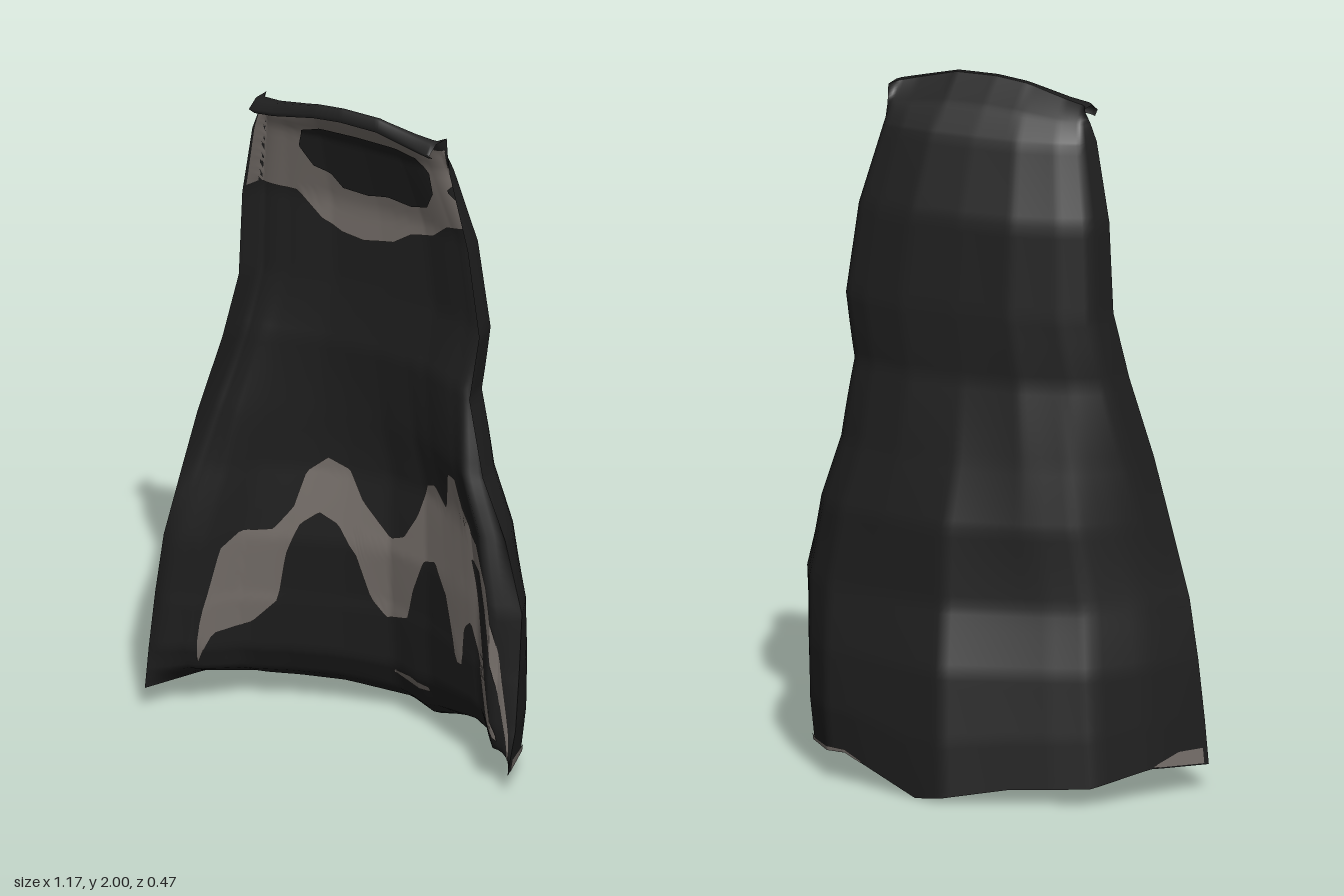
import * as THREE from 'three';

// Height rows: y, x of both edges, z of both edges, z of the middle of the back
const ROWS = [
  [0.07, -0.59, 0.575, 0.235, 0.165, -0.235],
  [0.2, -0.58, 0.58, 0.23, 0.13, -0.23],
  [0.37, -0.565, 0.582, 0.22, 0.115, -0.21],
  [0.55, -0.54, 0.585, 0.215, 0.105, -0.16],
  [0.77, -0.485, 0.535, 0.205, 0.115, -0.145],
  [0.95, -0.44, 0.47, 0.195, 0.13, -0.1],
  [1.18, -0.38, 0.425, 0.16, 0.13, -0.05],
  [1.37, -0.345, 0.445, 0.13, 0.11, -0.05],
  [1.63, -0.33, 0.41, 0.135, 0.115, -0.03],
  [1.85, -0.28, 0.35, 0.16, 0.115, 0.04],
  [1.93, -0.265, 0.34, 0.15, 0.11, 0.1],
  [2.0, -0.262, 0.34, 0.115, 0.115, 0.18],
];
// How far the cloth has come forward from the middle (0) to the edge (1)
const LOW_BEND_LEFT = [[0, 0], [0.5, 0.22], [0.68, 0.32], [0.86, 0.66], [1, 1]];
const LOW_BEND_RIGHT = [[0, 0], [0.5, 0.22], [0.72, 0.32], [0.9, 0.62], [1, 1]];
const HIGH_BEND = [[0, 0], [0.42, 0.03], [0.75, 0.23], [0.96, 0.46], [1, 1]];
// Depth between the back and the lining by height
const THICKNESS = [[0.07, 0], [0.087, 0.04], [0.12, 0.085], [0.2, 0.13], [0.35, 0.14], [0.6, 0.11],
  [0.85, 0.085], [1.2, 0.06], [1.6, 0.05], [1.85, 0.05], [1.93, 0.04], [2, 0]];
// Extra padding of the lining toward the two side rims
const RIM = [[-1, 0], [-0.8, 0.045], [-0.5, 0.015], [-0.2, 0], [0.3, 0], [0.63, 0.05], [0.88, 0.095], [1, 0]];
// Uneven hem and neckline
const HEM = [[-1, 0], [-0.83, 0.015], [-0.63, -0.02], [-0.27, -0.025], [0.2, -0.07], [0.63, 0.015], [1, 0]];
const NECK = [[-1, -0.05], [-0.75, -0.04], [-0.3, -0.01], [0, 0], [0.4, 0], [1, -0.04]];

// Piecewise linear lookup, column k of a table sorted by its first column
function lookup(table, x, k = 1) {
  if (x <= table[0][0]) return table[0][k];
  for (let i = 1; i < table.length; i++) {
    const a = table[i - 1], b = table[i];
    if (x <= b[0]) return a[k] + (b[k] - a[k]) * (x - a[0]) / (b[0] - a[0]);
  }
  return table[table.length - 1][k];
}

// Point of the cloth; t runs -1..1 across, lift moves it along z
function clothPoint(t, y, inner, lift = 0) {
  const [xl, xr, zl, zr, zc] = [1, 2, 3, 4, 5].map(k => lookup(ROWS, y, k));
  // The spine lies slightly off the middle
  const s = t - 0.045 * (1 - t * t), a = Math.abs(s);
  const mix = THREE.MathUtils.smoothstep(y, 0.5, 1.3);
  const low = lookup(s < 0 ? LOW_BEND_LEFT : LOW_BEND_RIGHT, a);
  const bend = THREE.MathUtils.lerp(low, lookup(HIGH_BEND, a), mix);
  const edge = s < 0 ? zl : zr;
  const rim = lookup(RIM, t) * Math.min(1, (y - 0.07) / 0.05) * (1 - THREE.MathUtils.smoothstep(y, 0.85, 1.35));
  const depth = inner ? lookup(THICKNESS, y) * (1 - t ** 8) + rim : 0;
  const z = zc + (edge - zc) * bend + depth + lift;
  const dy = lookup(HEM, t) * Math.max(0, 1 - y / 0.35) / 0.8
    + lookup(NECK, t) * Math.max(0, (y - 1.85) / 0.15);
  return [xl + (xr - xl) * (t + 1) / 2, y + dy, z];
}

// Grid surface facing the front, or the back when flipped
function grid(fn, us, vs, flip) {
  const pos = [], index = [], w = us.length;
  vs.forEach(v => us.forEach(u => pos.push(...fn(u, v))));
  for (let j = 0; j < vs.length - 1; j++) {
    for (let i = 0; i < w - 1; i++) {
      const a = j * w + i, b = a + 1, c = a + w, d = c + 1;
      if (flip) index.push(a, c, b, b, c, d);
      else index.push(a, b, c, b, d, c);
    }
  }
  const g = new THREE.BufferGeometry();
  g.setAttribute('position', new THREE.Float32BufferAttribute(pos, 3));
  g.setIndex(index);
  g.computeVertexNormals();
  return g;
}

const steps = (a, b, n) => Array.from({ length: n + 1 }, (_, i) => a + (b - a) * i / n);

// Painted patch between a top and a bottom outline, on the lining or the back
function patch(top, bottom, lift, inner = true) {
  const x0 = top[0][0], x1 = top[top.length - 1][0];
  return grid((x, s) => {
    const y = THREE.MathUtils.lerp(lookup(bottom, x), lookup(top, x), s);
    const xl = lookup(ROWS, y, 1), xr = lookup(ROWS, y, 2);
    const t = THREE.MathUtils.clamp(2 * (x - xl) / (xr - xl) - 1, -0.99, 0.99);
    return clothPoint(t, y, inner, inner ? lift : -lift);
  }, steps(x0, x1, 110), steps(0, 1, 14), !inner);
}

export function createModel() {
  const model = new THREE.Group();
  model.name = 'cape';
  const dark = new THREE.MeshStandardMaterial({ color: 0x1f1f1f });
  dark.name = 'black cloth';
  const lip = new THREE.MeshStandardMaterial({ color: 0x1f1f1f, side: THREE.DoubleSide });
  lip.name = 'black collar cloth';
  const grey = new THREE.MeshStandardMaterial({ color: 0x77706b });
  grey.name = 'warm grey';
  const add = (name, geometry, material) => {
    const mesh = new THREE.Mesh(geometry, material);
    mesh.name = name;
    model.add(mesh);
  };

  // Cloth: back and padded lining meet along every edge
  const across = steps(-1, 1, 60);
  const up = [];
  ROWS.slice(1).forEach((r, i) => up.push(...steps(ROWS[i][0], r[0], 8).slice(0, 8)));
  up.push(2);
  add('outerCloth', grid((t, y) => clothPoint(t, y, false), across, up, true), dark);
  add('innerCloth', grid((t, y) => clothPoint(t, y, true), across, up, false), dark);

  // Collar fold hanging over the front of the neckline
  const fold = [[0, 0], [0.002, 0.6], [-0.02, 1], [-0.035, 0.8]];
  add('collarFold', grid((t, k) => {
    const [x, y, z] = clothPoint(t, 2, false);
    return [x, y + fold[k][0], z + (0.205 - z) * fold[k][1]];
  }, across, [3, 2, 1, 0], false), lip);

  // Grey neck panel with a dark opening and a small dark fleck on it
  add('neckPanel', patch(
    [[-0.33, 1.95], [0.42, 1.95]],
    [[-0.33, 1.65], [-0.2, 1.64], [-0.13, 1.56], [-0.07, 1.53], [0, 1.52], [0.1, 1.54],
      [0.16, 1.58], [0.24, 1.6], [0.3, 1.65], [0.42, 1.68]], 0.005), grey);
  add('neckPanelCentre', patch(
    [[-0.16, 1.81], [-0.14, 1.87], [-0.08, 1.89], [0.18, 1.89], [0.24, 1.88], [0.275, 1.83]],
    [[-0.16, 1.8], [-0.13, 1.74], [-0.08, 1.72], [-0.05, 1.68], [0.03, 1.675], [0.1, 1.69],
      [0.18, 1.68], [0.24, 1.7], [0.275, 1.76]], 0.009), dark);
  add('neckPanelFleck', patch(
    [[0.33, 1.79], [0.35, 1.81], [0.37, 1.8]], [[0.33, 1.78], [0.35, 1.76], [0.37, 1.77]], 0.009), dark);

  // Wavy grey band above the hem, and the streak along its edge
  add('wavyBand', patch(
    [[-0.46, 0.16], [-0.44, 0.3], [-0.39, 0.52], [-0.35, 0.57], [-0.27, 0.58], [-0.22, 0.65],
      [-0.19, 0.76], [-0.13, 0.81], [-0.07, 0.78], [-0.03, 0.69], [0.05, 0.59], [0.1, 0.61],
      [0.15, 0.69], [0.19, 0.8], [0.23, 0.82], [0.28, 0.77], [0.31, 0.9], [0.35, 0.9],
      [0.37, 0.82], [0.4, 0.7], [0.44, 0.58], [0.48, 0.38], [0.52, 0.17]],
    [[-0.46, 0.15], [-0.42, 0.25], [-0.34, 0.28], [-0.27, 0.35], [-0.24, 0.5], [-0.2, 0.6],
      [-0.15, 0.64], [-0.1, 0.61], [-0.05, 0.52], [-0.02, 0.38], [0.02, 0.33], [0.1, 0.35],
      [0.13, 0.45], [0.18, 0.56], [0.23, 0.58], [0.28, 0.5], [0.32, 0.31], [0.35, 0.31],
      [0.37, 0.44], [0.4, 0.47], [0.44, 0.37], [0.48, 0.22], [0.52, 0.15]], 0.005), grey);
  add('edgeStreak', patch(
    [[0.37, 0.82], [0.41, 0.75], [0.45, 0.74], [0.5, 0.63], [0.54, 0.38], [0.57, 0.15]],
    [[0.37, 0.78], [0.41, 0.67], [0.46, 0.66], [0.5, 0.48], [0.54, 0.24], [0.57, 0.09]], 0.006), grey);

  // Small grey marks near the hem, on the lining and on the back
  add('hemMark', patch([[0.02, 0.185], [0.09, 0.195], [0.16, 0.18]],
    [[0.02, 0.175], [0.09, 0.17], [0.16, 0.165]], 0.005), grey);
  add('backHemMarkRight', patch([[-0.585, 0.12], [-0.54, 0.115], [-0.5, 0.08]],
    [[-0.585, 0.075], [-0.5, 0.075]], 0.006, false), grey);
  add('backHemMarkLeft', patch([[0.3, 0.078], [0.42, 0.085], [0.5, 0.082], [0.575, 0.11]],
    [[0.3, 0.072], [0.575, 0.072]], 0.006, false), grey);
  return model;
}
